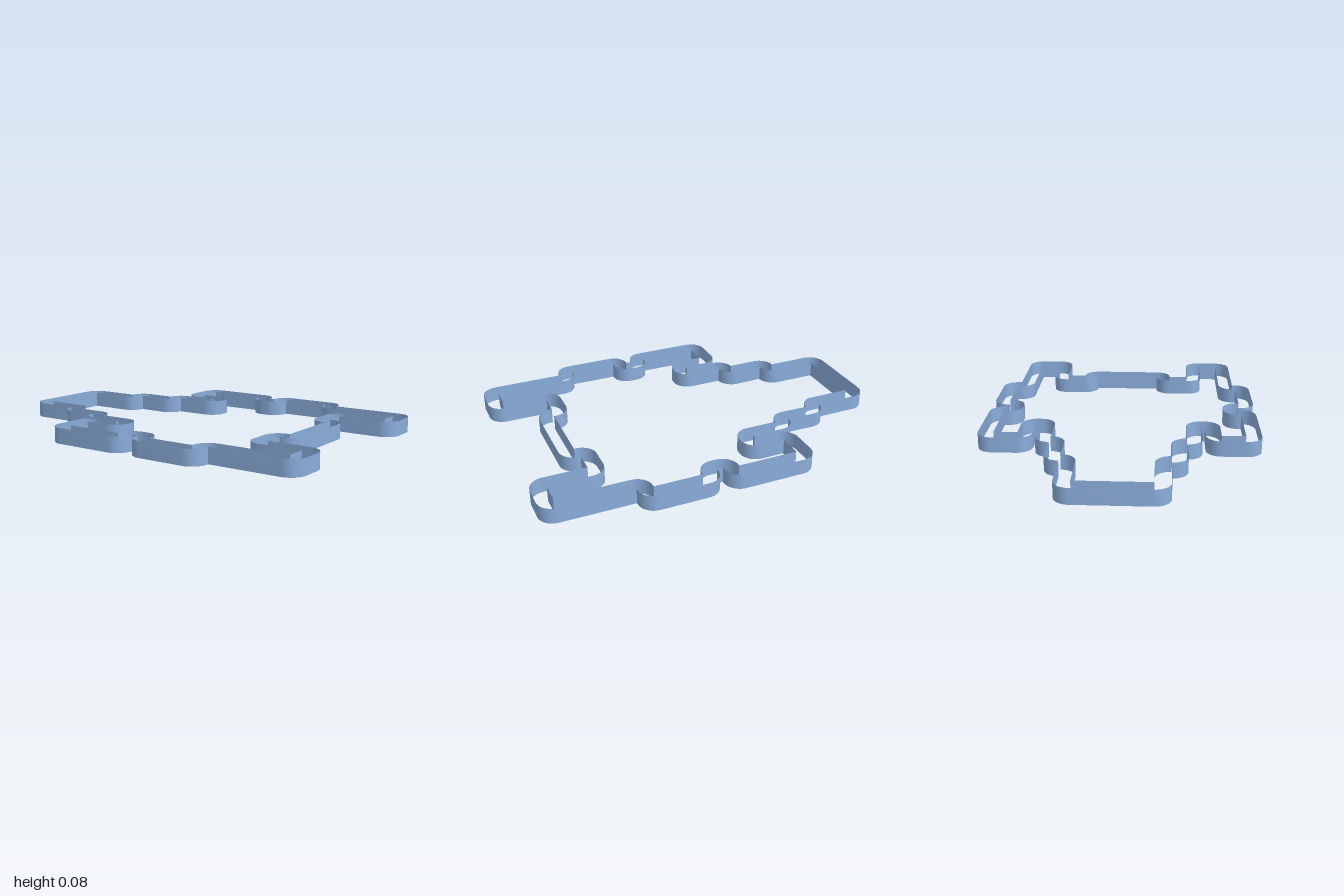
import * as THREE from 'three';
import { toCreasedNormals } from 'three/addons/utils/BufferGeometryUtils.js';

const HEIGHT = 0.083;
const GAP = 0.082; // distance between the inner and outer walls
const ARC_STEPS = 10;

// Corner pivots of the +x half, from back to front: [x, z, turn]
// turn 1 = convex (sharp on the inner wall), -1 = concave (sharp on the outer wall)
const HALF = [
  [0.191, -0.918, 1], [0.273, -0.69, -1], [0.273, -0.608, 1],
  [0.352, -0.452, -1], [0.35, -0.37, 1],
  [0.432, -0.195, -1], [0.45, -0.195, -1], // narrow slot
  [0.532, -0.322, 1], [0.658, -0.322, 1], [0.658, 0, 1],
  [0.645, 0.082, -1], [0.645, 0.114, -1], // side notch
  [0.658, 0.196, 1], [0.658, 0.453, 1], [0.645, 0.535, -1],
  [0.563, 0.918, 1], [0.456, 0.918, 1], // foot
  [0.374, 0.69, -1], [0.265, 0.69, -1], [0.183, 0.7, 1],
];

// Walks round the corners; side 1 traces the outer wall, -1 the inner wall
function traceOutline(side) {
  const corners = [...HALF, ...HALF.map(([x, z, t]) => [-x, z, t]).reverse()];
  const points = [];
  const add = (x, z) => {
    const last = points[points.length - 1];
    if (!last || Math.hypot(x - last[0], z - last[1]) > 1e-3) points.push([x, z]);
  };
  let heading = 0;
  for (const [x, z, turn] of corners) {
    if (turn === side) {
      for (let i = 0; i <= ARC_STEPS; i++) {
        const a = heading + turn * (i / ARC_STEPS - 1) * Math.PI / 2;
        add(x + GAP * Math.cos(a), z + GAP * Math.sin(a));
      }
    } else {
      add(x, z);
    }
    heading += turn * Math.PI / 2;
  }
  return points;
}

// Upright open strip following a closed outline
function wallGeometry(points, side) {
  const path = side > 0 ? points : [...points].reverse();
  const positions = [];
  path.forEach(([ax, az], i) => {
    const [bx, bz] = path[(i + 1) % path.length];
    positions.push(ax, 0, az, ax, HEIGHT, az, bx, HEIGHT, bz);
    positions.push(ax, 0, az, bx, HEIGHT, bz, bx, 0, bz);
  });
  const geometry = new THREE.BufferGeometry();
  geometry.setAttribute('position', new THREE.Float32BufferAttribute(positions, 3));
  return toCreasedNormals(geometry, Math.PI / 6);
}

export function createModel() {
  const group = new THREE.Group();
  group.name = 'outlineFrame';
  const blue = new THREE.MeshStandardMaterial({ color: 0x8aacda, side: THREE.DoubleSide });
  blue.name = 'softBlue';

  for (const [name, side] of [['outerWall', 1], ['innerWall', -1]]) {
    const wall = new THREE.Mesh(wallGeometry(traceOutline(side), side), blue);
    wall.name = name;
    group.add(wall);
  }
  return group;
}
